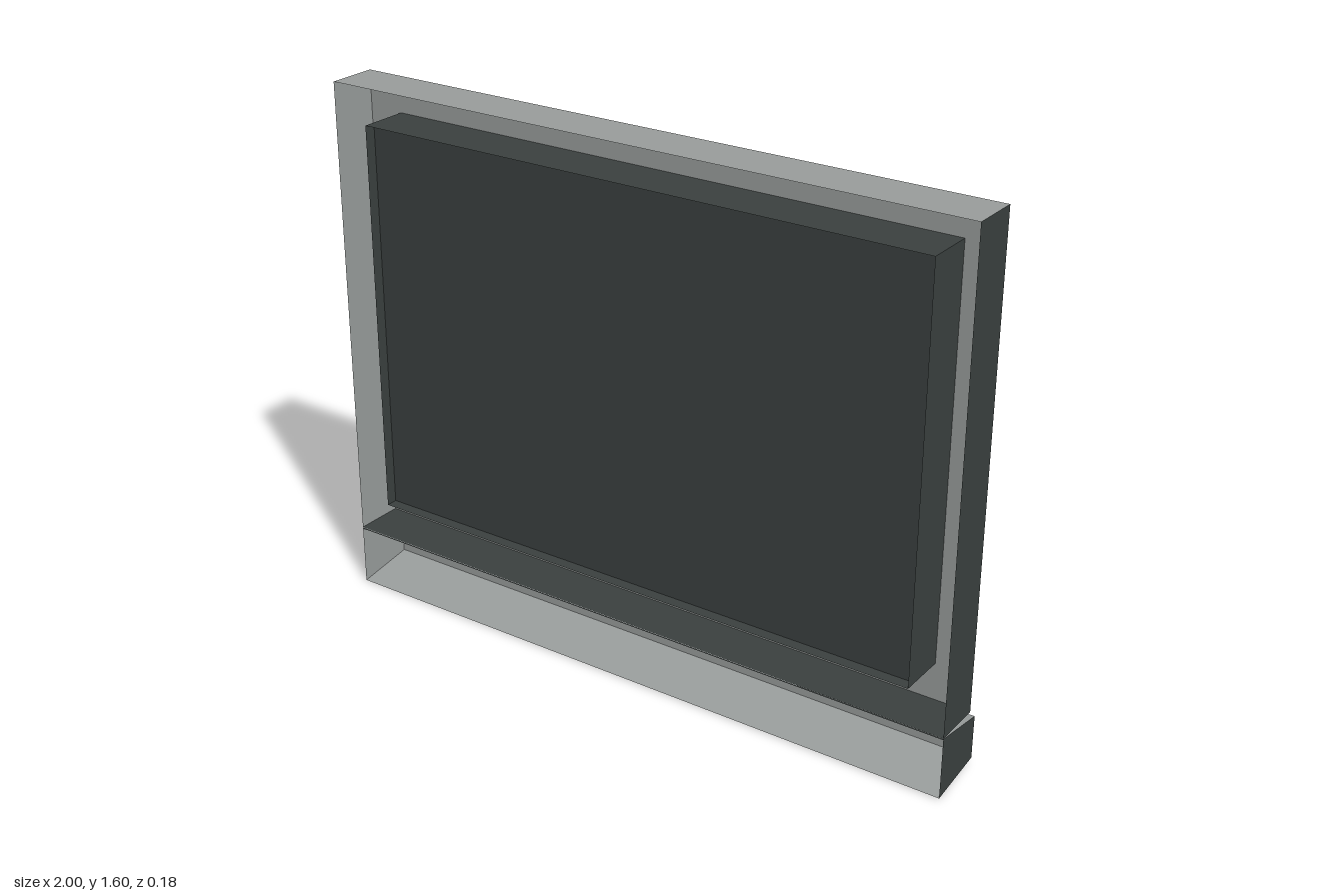
import * as THREE from 'three';

export function createModel() {
  const model = new THREE.Group();
  model.name = 'screenPanel';
  const lightGrey = new THREE.MeshStandardMaterial({ color: 0x9a9e9d, side: THREE.DoubleSide });
  lightGrey.name = 'light grey';
  const charcoal = new THREE.MeshStandardMaterial({ color: 0x3b4140, side: THREE.DoubleSide });
  charcoal.name = 'charcoal';

  // Thin sheet through four corners, listed counter-clockwise from outside
  function sheet(parent, name, material, corners) {
    const geometry = new THREE.BufferGeometry();
    geometry.setAttribute('position', new THREE.Float32BufferAttribute(corners.flat(), 3));
    geometry.setIndex([0, 1, 2, 0, 2, 3]);
    geometry.computeVertexNormals();
    const mesh = new THREE.Mesh(geometry, material);
    mesh.name = name;
    parent.add(mesh);
  }

  // Four walls of a tube whose section may taper from front to back
  function walls(name, w, front, back, mats) {
    const group = new THREE.Group();
    group.name = name;
    const [zf, f0, f1] = front, [zb, b0, b1] = back;
    const F = [[-w, f0, zf], [w, f0, zf], [w, f1, zf], [-w, f1, zf]];
    const B = [[-w, b0, zb], [w, b0, zb], [w, b1, zb], [-w, b1, zb]];
    ['bottom', 'left', 'top', 'right'].forEach((side, i) => {
      const j = (i + 1) % 4;
      sheet(group, name + side[0].toUpperCase() + side.slice(1), mats[i], [F[i], B[i], B[j], F[j]]);
    });
    model.add(group);
    return group;
  }

  // Outer casing, open at the front
  const casing = walls('casing', 1, [0.09, 0.187, 1.595], [-0.06, 0.187, 1.595],
    [charcoal, charcoal, lightGrey, lightGrey]);

  // Back border with the screen opening
  const border = new THREE.Shape();
  border.moveTo(-1, 0.187).lineTo(1, 0.187).lineTo(1, 1.595).lineTo(-1, 1.595).closePath();
  const opening = new THREE.Path();
  opening.moveTo(-0.89, 0.297).lineTo(-0.89, 1.487).lineTo(0.89, 1.487).lineTo(0.89, 0.297).closePath();
  border.holes.push(opening);
  const backBorder = new THREE.Mesh(new THREE.ShapeGeometry(border), lightGrey);
  backBorder.name = 'backBorder';
  backBorder.position.z = -0.06;
  casing.add(backBorder);

  // Inner sleeve holding the recessed screen
  const sleeve = walls('sleeve', 0.89, [0.09, 0.297, 1.487], [-0.06, 0.297, 1.487],
    [charcoal, charcoal, charcoal, charcoal]);
  sheet(sleeve, 'screen', charcoal,
    [[-0.89, 0.297, 0.055], [0.89, 0.297, 0.055], [0.89, 1.487, 0.055], [-0.89, 1.487, 0.055]]);

  // Tapered base trough, open at the front, with a dark lining under its top
  const base = walls('base', 1, [0.09, 0, 0.185], [-0.09, 0.027, 0.158],
    [lightGrey, charcoal, lightGrey, lightGrey]);
  sheet(base, 'baseBack', lightGrey,
    [[1, 0.027, -0.09], [-1, 0.027, -0.09], [-1, 0.158, -0.09], [1, 0.158, -0.09]]);
  sheet(base, 'baseTopLining', charcoal,
    [[-1, 0.182, 0.09], [1, 0.182, 0.09], [1, 0.155, -0.089], [-1, 0.155, -0.089]]);

  return model;
}
